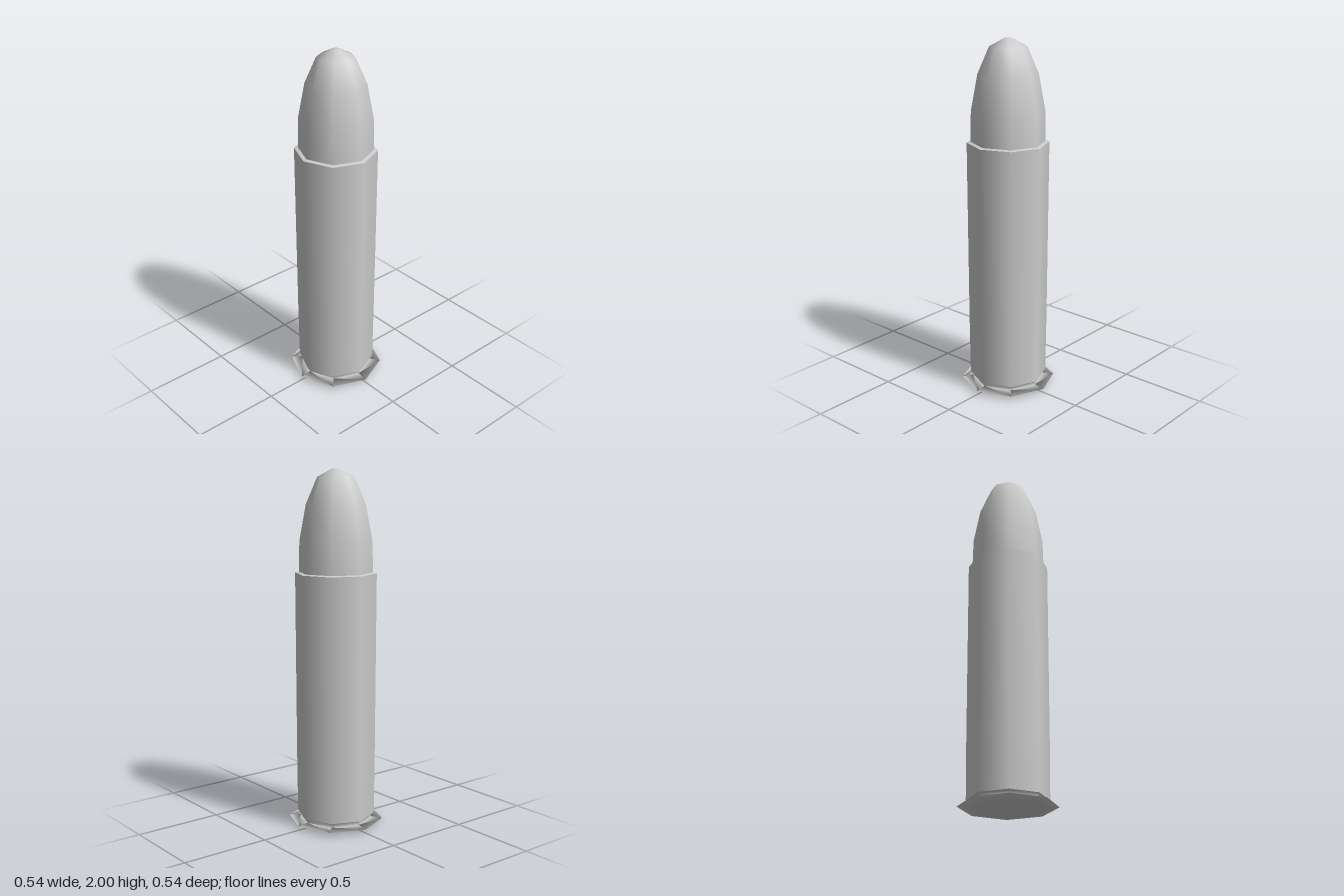
import * as THREE from 'three';

const SIDES = 8;

// Turns a [radius, height] profile, listed from bottom to top, around the y axis
function turned(name, profile) {
  const points = profile.map(([r, y]) => new THREE.Vector2(r, y));
  const mesh = new THREE.Mesh(
    new THREE.LatheGeometry(points, SIDES),
    new THREE.MeshStandardMaterial({ color: 0xcccccc, side: THREE.DoubleSide })
  );
  mesh.name = name;
  return mesh;
}

export function createModel() {
  const model = new THREE.Group();
  model.name = 'cartridge';

  // Thin flared rim with a shallow domed underside
  model.add(turned('rim', [[0, 0], [0.18, 0.004], [0.268, 0.021], [0.205, 0.03]]));

  // Narrow groove between rim and case
  model.add(turned('extractorGroove', [[0.205, 0.03], [0.203, 0.05], [0.22, 0.055]]));

  // Slightly widening case, closed by a lip that meets the bullet
  model.add(turned('case', [[0.22, 0.055], [0.223, 0.38], [0.227, 1.435]]));
  model.add(turned('caseLip', [[0.227, 1.435], [0.205, 1.44]]));

  // Rounded bullet with a tiny blunt tip
  model.add(turned('bullet', [
    [0.206, 1.43], [0.202, 1.61], [0.165, 1.81], [0.102, 1.957], [0.022, 2], [0, 2],
  ]));

  return model;
}
